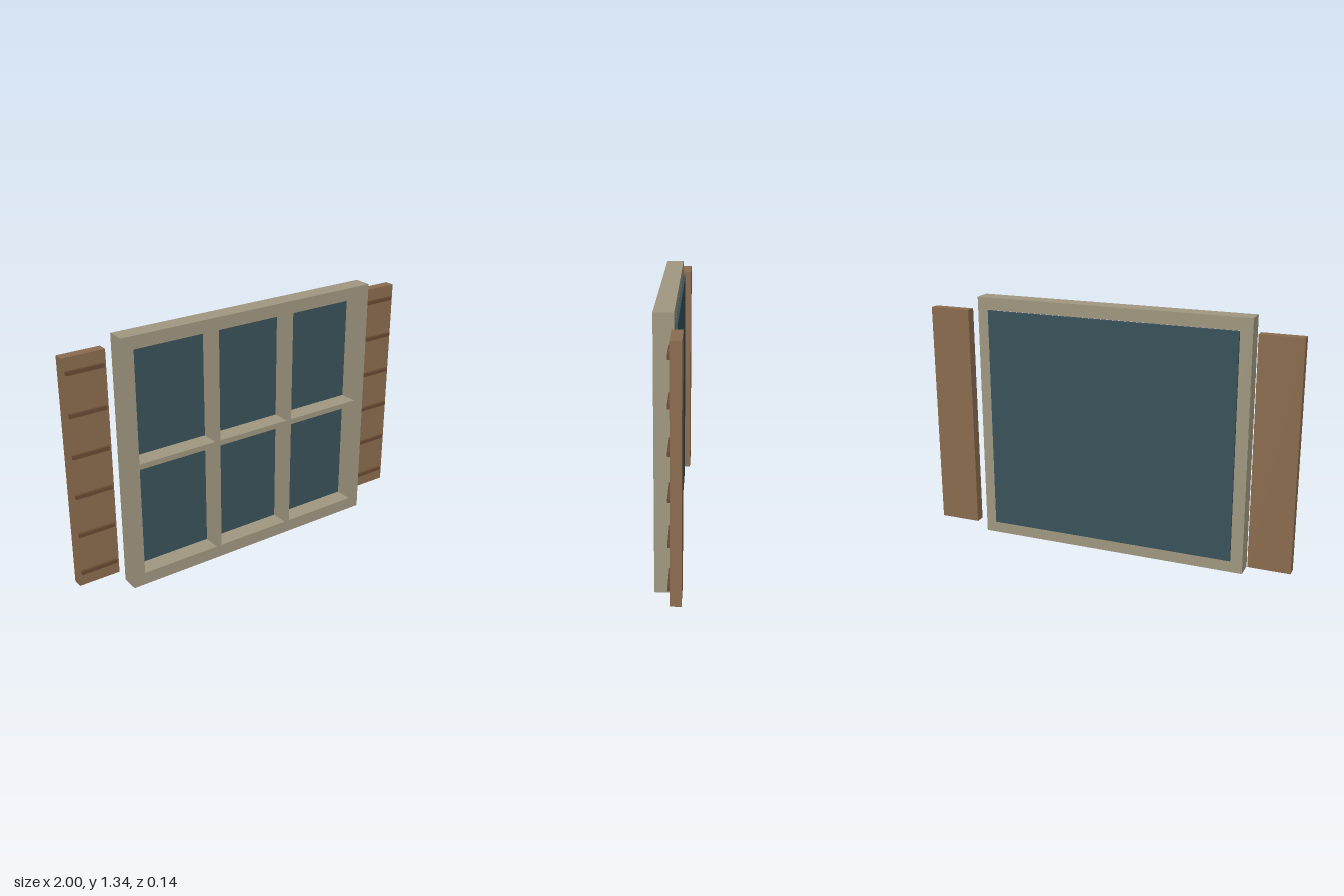
import * as THREE from 'three';

const frameMat = new THREE.MeshStandardMaterial({ color: 0xa09880 });
const glassMat = new THREE.MeshStandardMaterial({ color: 0x3a525a });
const woodMat = new THREE.MeshStandardMaterial({ color: 0x8b6c4e });
const slatMat = new THREE.MeshStandardMaterial({ color: 0x6a4a34 });

function box(name, w, h, d, x, y, z, mat) {
  const mesh = new THREE.Mesh(new THREE.BoxGeometry(w, h, d), mat);
  mesh.name = name;
  mesh.position.set(x, y, z);
  return mesh;
}

function rect(target, x0, x1, y0, y1) {
  target.moveTo(x0, y0).lineTo(x1, y0).lineTo(x1, y1).lineTo(x0, y1).closePath();
  return target;
}

// Frame with glazing bars: one slab with six openings
function createFrame() {
  const shape = rect(new THREE.Shape(), -0.742, 0.742, 0, 1.338);
  for (const [x0, x1] of [[-0.678, -0.241], [-0.21, 0.21], [0.241, 0.678]]) {
    for (const [y0, y1] of [[0.067, 0.655], [0.684, 1.272]]) {
      shape.holes.push(rect(new THREE.Path(), x0, x1, y0, y1));
    }
  }
  const geo = new THREE.ExtrudeGeometry(shape, { depth: 0.096, bevelEnabled: false });
  geo.translate(0, 0, -0.028);
  const mesh = new THREE.Mesh(geo, frameMat);
  mesh.name = 'windowFrame';
  return mesh;
}

// Shutter board with six raised slats
function createShutter(name, side) {
  const shutter = new THREE.Group();
  shutter.name = name;
  shutter.position.x = side * 0.889;
  shutter.add(box('shutterBoard', 0.222, 1.205, 0.052, 0, 0.669, -0.044, woodMat));
  for (let i = 0; i < 6; i++) {
    shutter.add(box('shutterSlat', 0.194, 0.02, 0.018, 0, 0.143 + i * 0.211, -0.013, slatMat));
  }
  return shutter;
}

export function createModel() {
  const model = new THREE.Group();
  model.name = 'shutteredWindow';
  model.add(createFrame());
  // Single pane fixed behind the frame
  model.add(box('glassPane', 1.356, 1.205, 0.013, 0, 0.669, -0.0345, glassMat));
  model.add(createShutter('leftShutter', 1), createShutter('rightShutter', -1));
  return model;
}
